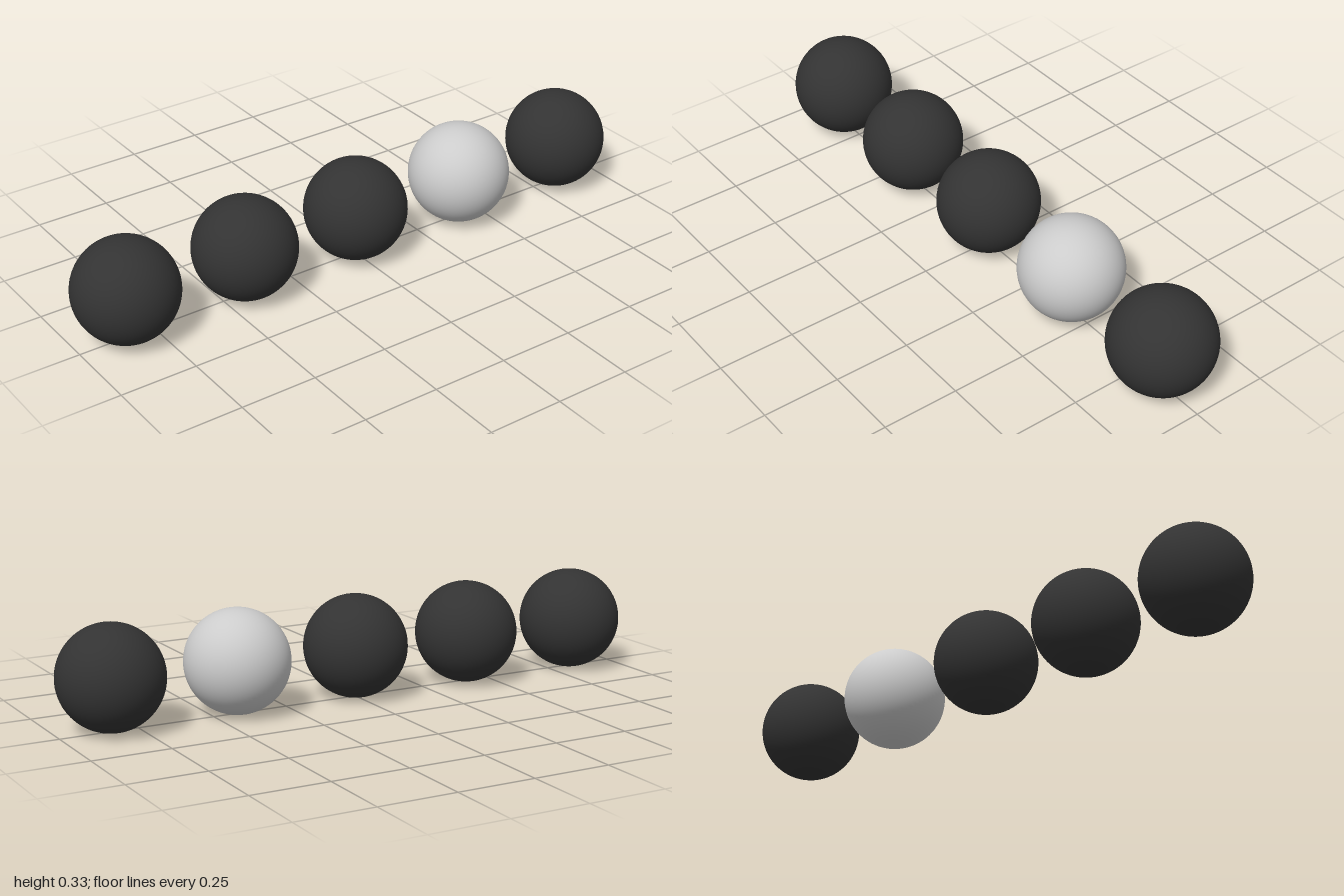
import * as THREE from 'three';

const RADIUS = 1 / 6;
const SPACING = 5 / 12;

export function createModel() {
  const model = new THREE.Group();
  model.name = 'ballRow';

  const dark = new THREE.MeshStandardMaterial({ color: 0x333333 });
  const grey = new THREE.MeshStandardMaterial({ color: 0xcccccc });
  const ballGeometry = new THREE.SphereGeometry(RADIUS, 64, 48);

  // Five equal balls in a row; the fourth is light grey
  for (let i = 0; i < 5; i++) {
    const isLight = i === 3;
    const ball = new THREE.Mesh(ballGeometry, isLight ? grey : dark);
    ball.name = isLight ? 'lightBall' : `darkBall${i + 1}`;
    ball.position.set((i - 2) * SPACING, RADIUS, 0);
    model.add(ball);
  }

  return model;
}
